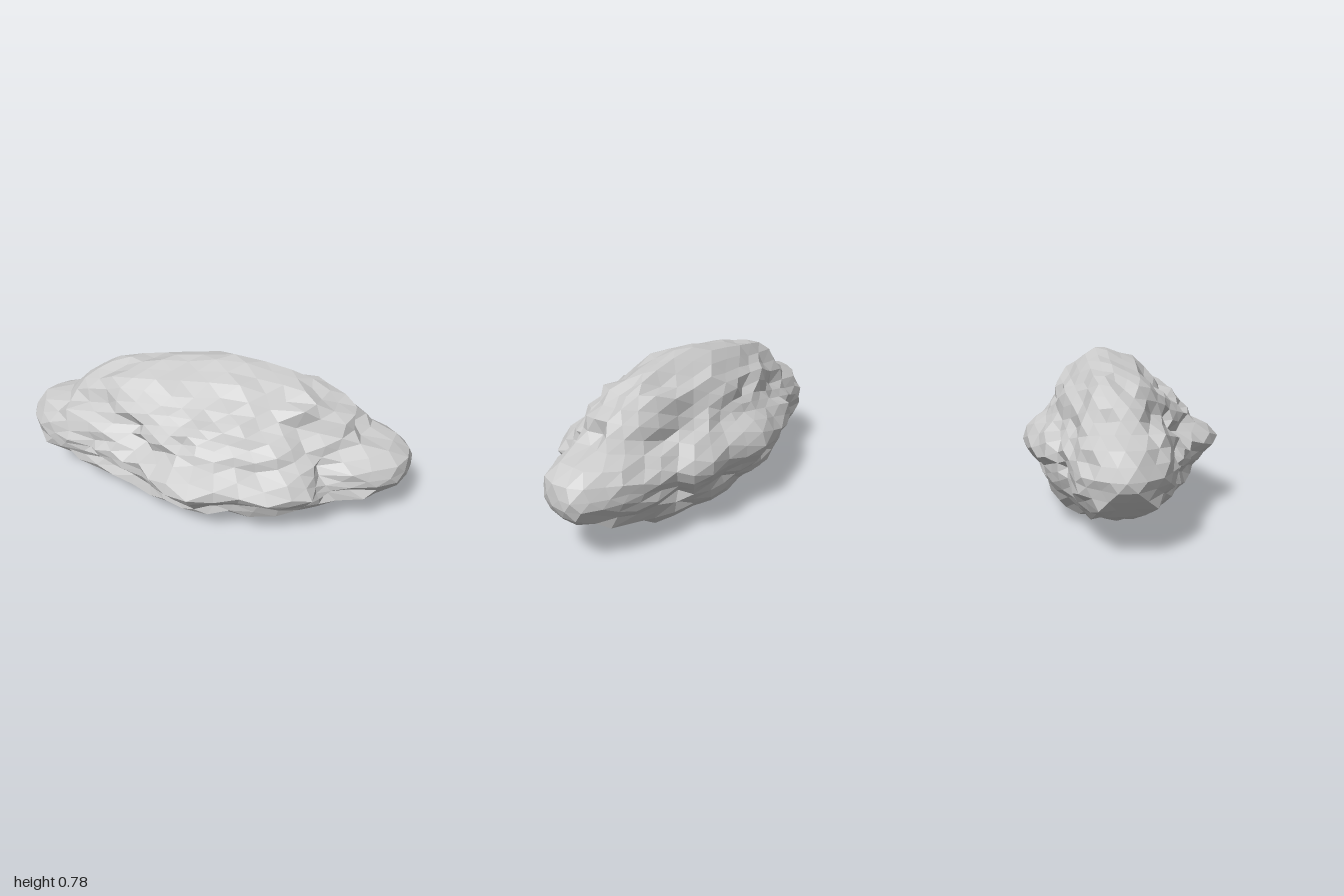
import * as THREE from 'three';

// Outlines of the boulder in three planes, as [horizontal, vertical] pairs
const FRONT = [[-1, .33], [-.92, .45], [-.75, .51], [-.45, .7], [-.12, .74], [.04, .78], [.2, .775], [.35, .74],
  [.66, .62], [.77, .5], [.9, .45], [.97, .4], [1, .3], [.93, .2], [.7, .1], [.57, .04], [.4, .01], [.03, 0],
  [-.33, .01], [-.66, .08], [-.82, .14], [-.92, .2]];
const SIDE = [[.06, .74], [0, .75], [-.06, .77], [-.12, .78], [-.25, .7], [-.36, .5], [-.47, .41], [-.5, .33],
  [-.47, .27], [-.41, .2], [-.33, .08], [-.2, .02], [-.06, 0], [.06, .03], [.13, .05], [.2, .08], [.35, .14],
  [.4, .22], [.5, .33], [.43, .4], [.36, .44], [.32, .51], [.14, .64], [.12, .7]];
const TOP = [[-1, -.05], [-.97, -.14], [-.84, -.26], [-.6, -.29], [-.5, -.37], [-.2, -.46], [.03, -.5], [.2, -.43],
  [.4, -.44], [.56, -.35], [.7, -.31], [.92, -.21], [1, -.15], [.99, -.07], [.95, .06], [.84, .13], [.63, .19],
  [.57, .32], [.4, .41], [.2, .42], [.02, .5], [-.14, .45], [-.25, .35], [-.47, .24], [-.67, .2], [-.92, .08]];

// Centre of the stone and its reach in each direction
const MID_Y = .33, MID_Z = -.07;
const reachY = v => (v > 0 ? .45 : .33);
const reachZ = v => (v > 0 ? .57 : .43);
const unitY = y => (y - MID_Y) / reachY(y - MID_Y);
const unitZ = z => (z - MID_Z) / reachZ(z - MID_Z);

// Turns an outline into radius as a function of angle, relative to the base ellipsoid
function polar(points, toUnit) {
  const table = points.map(p => {
    const [a, b] = toUnit(p);
    return [Math.atan2(b, a), Math.hypot(a, b)];
  }).sort((p, q) => p[0] - q[0]);
  const first = table[0], last = table[table.length - 1];
  table.unshift([last[0] - 2 * Math.PI, last[1]]);
  table.push([first[0] + 2 * Math.PI, first[1]]);
  return (a, b) => {
    const t = Math.atan2(b, a);
    let i = 1;
    while (i < table.length - 1 && table[i][0] < t) i++;
    const [t0, r0] = table[i - 1], [t1, r1] = table[i];
    return r0 + (r1 - r0) * (t - t0) / (t1 - t0);
  };
}

// Chipped surface: mixed waves that stay equal for coincident corners and fade at the tips
function chips(x, y, z) {
  const medium = Math.sin(9.7 * y + 6.1 * z + 2.1) * Math.sin(11.3 * x - 4.9 * z);
  const fine = Math.sin(31 * x + 17 * y + .4) * Math.sin(27 * z - 23 * y + 1.9);
  const sharp = Math.sin(47 * x - 39 * z + 2.7) * Math.sin(53 * y + 19 * x + .8);
  const fade = 1 - Math.max(Math.abs(x), Math.abs(y), Math.abs(z)) ** 16;
  return fade * (.015 * medium + .035 * fine + .05 * sharp - .015);
}

export function createModel() {
  const front = polar(FRONT, ([x, y]) => [x, unitY(y)]);
  const side = polar(SIDE, ([z, y]) => [unitZ(z), unitY(y)]);
  const top = polar(TOP, ([x, z]) => [x, unitZ(z)]);

  // Boulder: a faceted sphere pulled towards the three outlines, chipped, and trimmed to stay inside them
  const geometry = new THREE.IcosahedronGeometry(1, 7);
  const pos = geometry.attributes.position;
  const u = new THREE.Vector3();
  for (let i = 0; i < pos.count; i++) {
    u.fromBufferAttribute(pos, i).normalize();
    const { x, y, z } = u;
    const planes = [[front(x, y), z], [side(z, y), x], [top(x, z), y]];
    let r = 1.01 + chips(x, y, z);
    let limit = Infinity;
    for (const [outline, off] of planes) {
      const inPlane = Math.max(1 - off * off, 1e-6);
      r += inPlane ** 1.6 * (outline - 1);
      limit = Math.min(limit, outline / Math.sqrt(inPlane));
    }
    r = Math.min(r, limit);
    pos.setXYZ(i, x * r, MID_Y + y * r * reachY(y), MID_Z + z * r * reachZ(z));
  }
  geometry.computeVertexNormals();

  const boulder = new THREE.Mesh(geometry,
    new THREE.MeshStandardMaterial({ color: 0xcccccc, flatShading: true }));
  boulder.name = 'boulder';

  const group = new THREE.Group();
  group.name = 'rock';
  group.add(boulder);
  return group;
}
